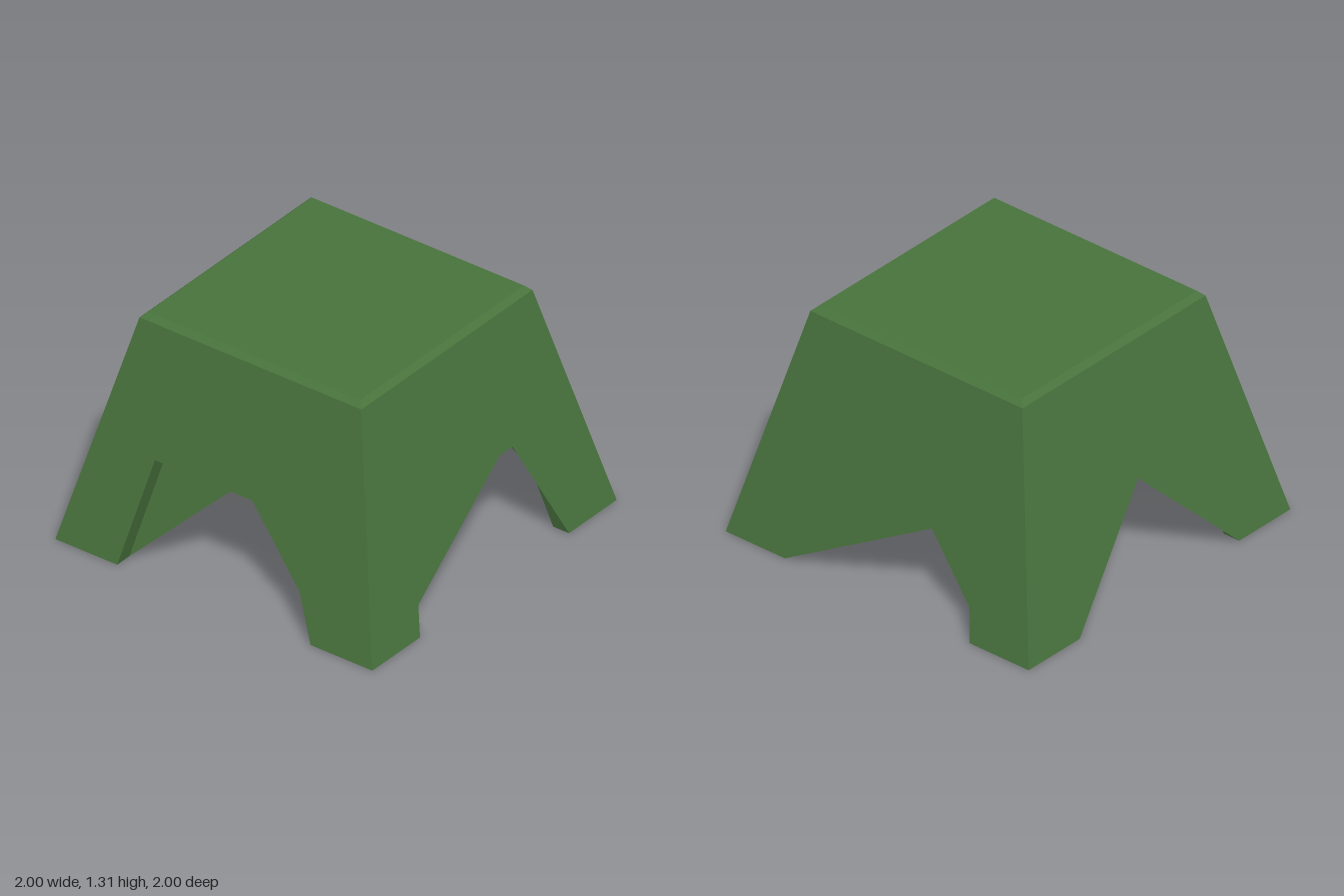
import * as THREE from 'three';

const SLOPE = 0.234, RIM_Y = 1.28, THICK = 0.1, CEILING = 1.2;

export function createModel() {
  const group = new THREE.Group();
  group.name = 'stool';
  const material = new THREE.MeshStandardMaterial({
    color: 0x4a753e, flatShading: true, side: THREE.DoubleSide,
  });

  const add = (parent, name, geometry) => {
    const mesh = new THREE.Mesh(geometry, material);
    mesh.name = name;
    parent.add(mesh);
    return mesh;
  };

  // Leaning sheet of one side, with a notch between its two feet
  const sheet = (depth, top, notch) => {
    const half = (y) => 1 - depth - SLOPE * y;
    const outline = [
      [-half(0), 0], [-0.61, 0], ...notch, [0.61, 0], [half(0), 0],
      [half(top), top], [-half(top), top],
    ].map(([u, y]) => new THREE.Vector2(u, y));
    const geometry = new THREE.ShapeGeometry(new THREE.Shape(outline));
    const p = geometry.attributes.position;
    for (let i = 0; i < p.count; i++) p.setZ(i, half(p.getY(i)));
    geometry.computeVertexNormals();
    return geometry;
  };

  // Strip of quads joining two rows of points
  const strip = (rowA, rowB) => {
    const index = [];
    for (let i = 0; i < rowA.length - 1; i++) {
      const j = i + rowA.length;
      index.push(i, i + 1, j + 1, i, j + 1, j);
    }
    const geometry = new THREE.BufferGeometry();
    geometry.setAttribute('position', new THREE.Float32BufferAttribute([...rowA, ...rowB].flat(), 3));
    geometry.setIndex(index);
    geometry.computeVertexNormals();
    return geometry;
  };

  // Notch corners of each side, going round: front, left, back, right
  const sides = [
    { name: 'front', outer: [[-0.55, 0.28], [0, 0.6], [0.33, 0.6]], inner: [[0.48, 0.6]] },
    { name: 'left', outer: [[0.48, 0.6]], inner: [[0, 0.6]] },
    { name: 'back', outer: [[0, 0.6]], inner: [[0, 0.6], [0.33, 0.6]] },
    { name: 'right', outer: [[-0.48, 0.6], [0.33, 0.6]], inner: [[0, 0.6]] },
  ];
  const arch = [[-0.61, 0], [-0.48, 0.6], [0.48, 0.6], [0.61, 0]];

  sides.forEach(({ name, outer, inner }, i) => {
    const side = new THREE.Group();
    side.name = `${name}Side`;
    side.rotation.y = i * Math.PI / 2;
    group.add(side);

    add(side, 'outerWall', sheet(0, RIM_Y, outer));
    add(side, 'innerWall', sheet(THICK, CEILING, inner));

    // Thickness of the wall around the arch
    const row = (depth) => arch.map(([u, y]) => [u, y, 1 - depth - SLOPE * y]);
    add(side, 'archEdge', strip(row(0), row(THICK)));

    // Undersides of the feet, mitred at the corners
    for (const s of [-1, 1]) {
      const a = [[s * 0.61, 0, 1], [s, 0, 1]];
      const b = [[s * 0.61, 0, 1 - THICK], [s * (1 - THICK), 0, 1 - THICK]];
      add(side, 'footSole', s > 0 ? strip(b, a) : strip(a, b));
    }
  });

  // Seat with a bevelled rim
  const seat = new THREE.CylinderGeometry(0.67 * Math.SQRT2, 0.7 * Math.SQRT2, 0.03, 4);
  seat.rotateY(Math.PI / 4);
  add(group, 'seat', seat).position.y = RIM_Y + 0.015;

  // Underside of the seat
  const width = 2 * (1 - THICK - SLOPE * CEILING);
  const under = new THREE.PlaneGeometry(width, width).rotateX(Math.PI / 2);
  add(group, 'seatUnderside', under).position.y = CEILING;

  return group;
}
